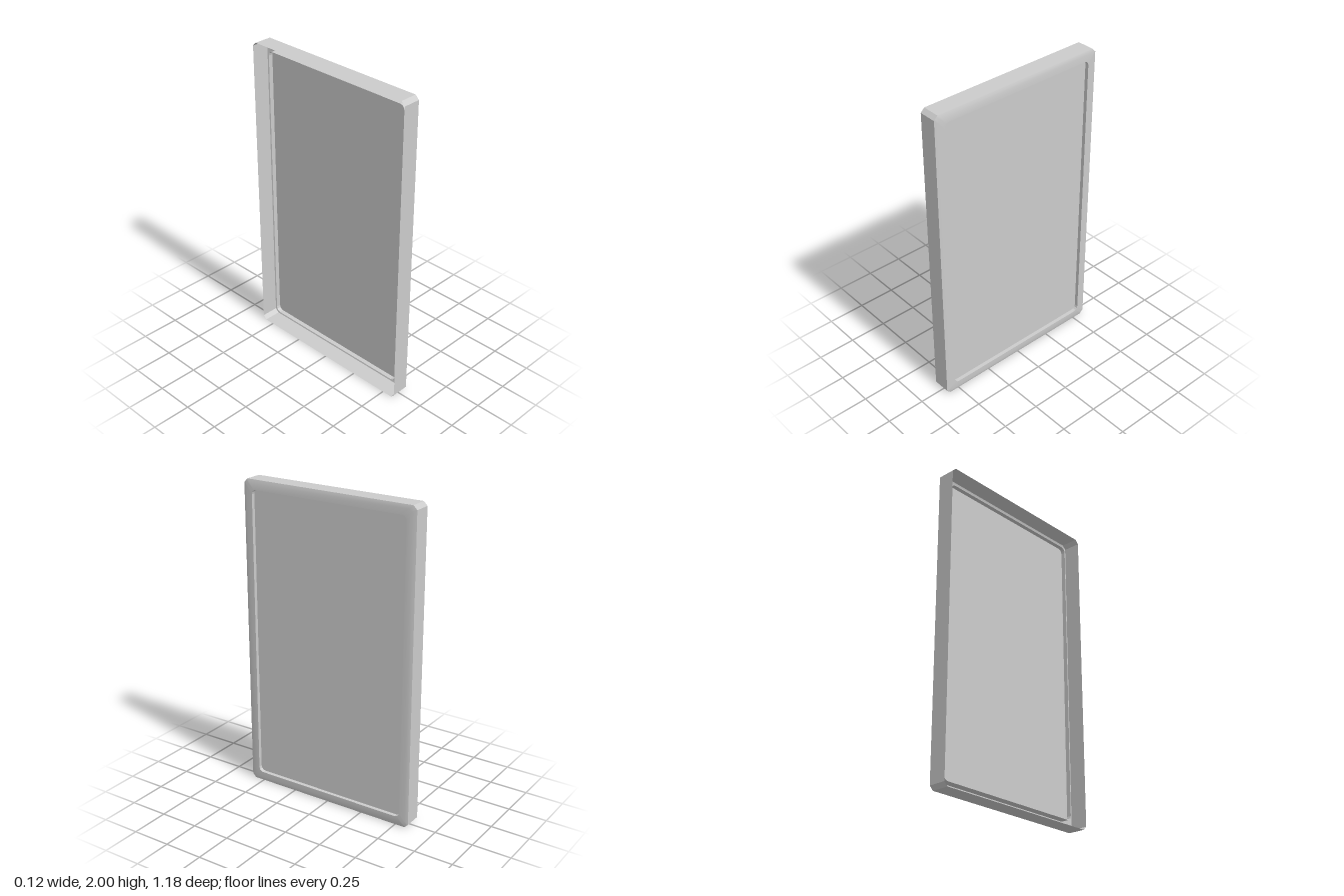
import * as THREE from 'three';

const HALF_Y = 1, HALF_Z = 0.59;

// Rectangular outline with cut (bulge 0) or rounded (bulge 1) corners, as [z, y] pairs
function outline(inset, corner, bulge) {
  const points = [];
  const cz = HALF_Z - inset - corner, cy = HALF_Y - inset - corner;
  [[1, 1], [-1, 1], [-1, -1], [1, -1]].forEach(([sz, sy], q) => {
    for (let i = 0; i <= 3; i++) {
      const t = i / 3;
      const a = (q + t) * Math.PI / 2;
      const a0 = q * Math.PI / 2, a1 = a0 + Math.PI / 2;
      const dz = THREE.MathUtils.lerp((1 - t) * Math.cos(a0) + t * Math.cos(a1), Math.cos(a), bulge);
      const dy = THREE.MathUtils.lerp((1 - t) * Math.sin(a0) + t * Math.sin(a1), Math.sin(a), bulge);
      points.push([sz * cz + corner * dz, 1 + sy * cy + corner * dy]);
    }
  });
  return points;
}

// Skin between successive outlines, each { x, points }
function loft(rings) {
  const n = rings[0].points.length;
  const position = [], index = [];
  for (const { x, points } of rings) for (const [z, y] of points) position.push(x, y, z);
  for (let r = 0; r < rings.length - 1; r++) {
    for (let i = 0; i < n; i++) {
      const j = (i + 1) % n;
      const a = r * n + i, b = r * n + j, c = a + n, d = b + n;
      index.push(a, c, b, b, c, d);
    }
  }
  const geometry = new THREE.BufferGeometry();
  geometry.setAttribute('position', new THREE.Float32BufferAttribute(position, 3));
  geometry.setIndex(index);
  geometry.computeVertexNormals();
  return geometry;
}

export function createModel() {
  const group = new THREE.Group();
  const smooth = new THREE.MeshStandardMaterial({ color: 0xcccccc, side: THREE.DoubleSide });
  const flat = new THREE.MeshStandardMaterial({ color: 0xcccccc, side: THREE.DoubleSide, flatShading: true });
  const add = (name, geometry, material) => {
    const mesh = new THREE.Mesh(geometry, material);
    mesh.name = name;
    group.add(mesh);
  };

  const outer = outline(0, 0.024, 0);
  const crest = outline(0.022, 0.024, 0.4);
  const inner = outline(0.06, 0.03, 1);

  // Thin outer wall, open at the back
  add('outerWall', loft([{ x: -0.06, points: outer }, { x: 0.052, points: outer }]), flat);

  // Softly sloped rim around the front
  add('frontRim', loft([
    { x: 0.052, points: outer },
    { x: 0.059, points: crest },
    { x: 0.06, points: inner },
  ]), smooth);

  // Lip running back from the rim, past the panel
  add('innerLip', loft([{ x: 0.06, points: inner }, { x: 0.008, points: inner }]), flat);

  // Flat panel set behind the rim
  const shape = new THREE.Shape(inner.map(([z, y]) => new THREE.Vector2(-z, y)));
  const panel = new THREE.ShapeGeometry(shape).rotateY(Math.PI / 2).translate(0.036, 0, 0);
  add('panel', panel, flat);

  return group;
}
